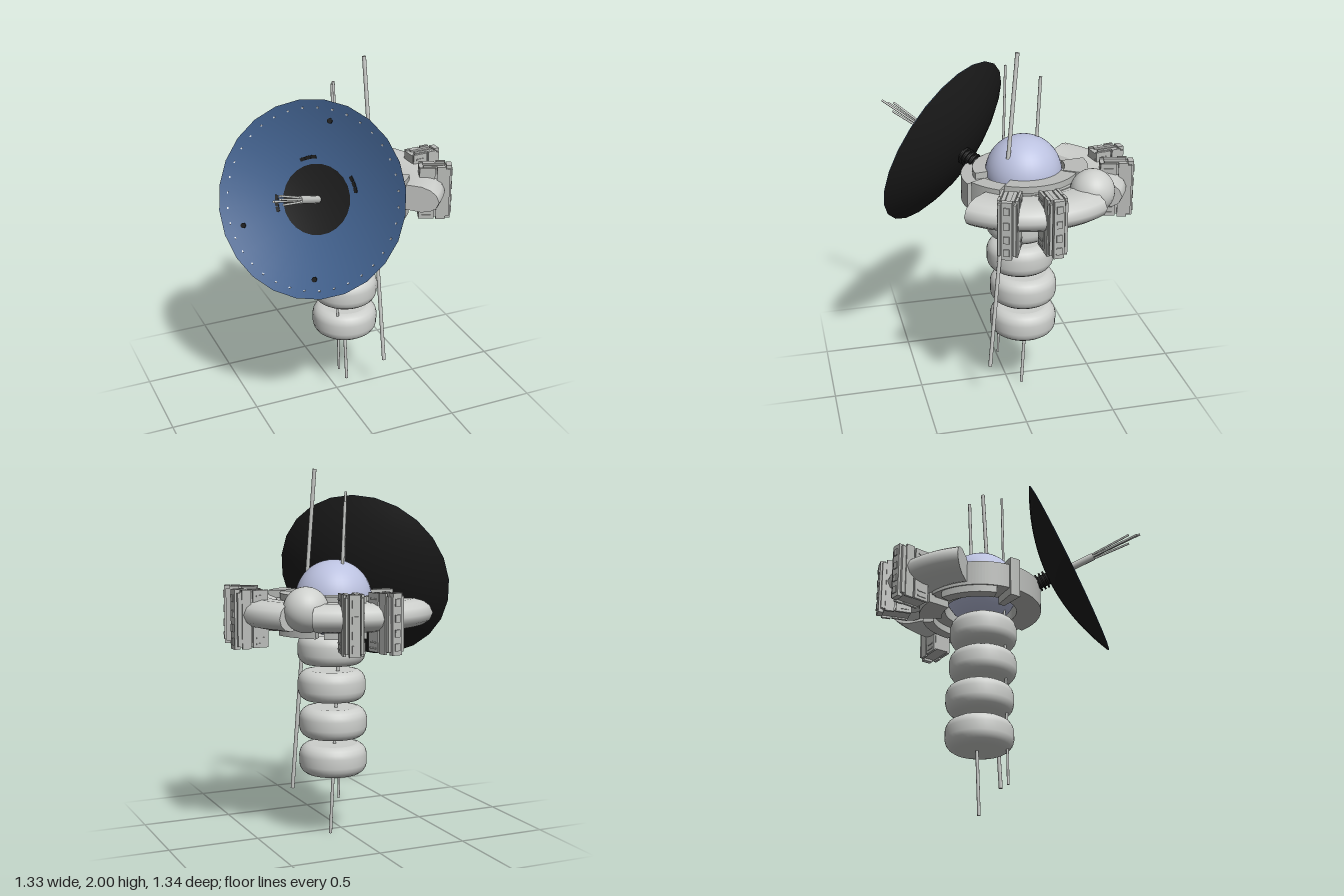
import * as THREE from 'three';

const rad = THREE.MathUtils.degToRad;
const mat = (name, color) => new THREE.MeshStandardMaterial({ name, color, side: THREE.DoubleSide });

export function createModel() {
  const hull = mat('hull grey', 0xcdcfcc);
  const plate = mat('plate grey', 0xbabcb9);
  const lilac = mat('core lilac', 0xbbc1df);
  const blue = mat('dish blue', 0x42628f);
  const black = mat('dish black', 0x1c1c1c);
  const white = mat('lamp white', 0xe4e6e8);

  const model = new THREE.Group();
  const add = (parent, name, geometry, material, x = 0, y = 0, z = 0) => {
    const mesh = new THREE.Mesh(geometry, material);
    mesh.name = name;
    mesh.position.set(x, y, z);
    parent.add(mesh);
    return mesh;
  };
  const group = (parent, name, x = 0, y = 0, z = 0) => {
    const g = new THREE.Group();
    g.name = name;
    g.position.set(x, y, z);
    parent.add(g);
    return g;
  };
  const rod = (parent, name, a, b, r, material) => {
    const from = new THREE.Vector3(...a), to = new THREE.Vector3(...b);
    const dir = to.clone().sub(from);
    const m = add(parent, name, new THREE.CylinderGeometry(r, r, dir.length(), 10), material);
    m.position.copy(from).add(to).multiplyScalar(0.5);
    m.quaternion.setFromUnitVectors(new THREE.Vector3(0, 1, 0), dir.normalize());
    return m;
  };
  const profile = (pts) => pts.map(([x, y]) => new THREE.Vector2(x, y));

  // Core sphere
  const hub = group(model, 'hub', 0.08, 0, -0.08);
  add(hub, 'coreSphere', new THREE.SphereGeometry(0.207, 40, 28), lilac, 0, 1.313, 0);

  // Stack of separate rounded discs
  const discSide = profile([[0.13, -0.083], [0.15, -0.079], [0.168, -0.066], [0.18, -0.048], [0.186, -0.025],
    [0.186, 0.025], [0.18, 0.048], [0.168, 0.066], [0.15, 0.079], [0.13, 0.083]]);
  for (const [y, z] of [[1.035, 0.02], [0.837, 0.018], [0.635, 0], [0.432, 0]]) {
    const disc = group(hub, 'stackDisc', 0.004, y, z);
    add(disc, 'discRim', new THREE.LatheGeometry(discSide, 36), hull);
    add(disc, 'discCore', new THREE.CylinderGeometry(0.131, 0.131, 0.165, 36), hull);
  }

  // Antenna rods
  rod(model, 'mainAntenna', [0.165, 2.0, -0.022], [0.235, 0.22, 0.145], 0.011, hull);
  rod(model, 'leftAntenna', [-0.025, 1.88, -0.005], [-0.005, 0.16, 0.045], 0.007, hull);
  rod(model, 'rearAntenna', [0.055, 1.83, -0.175], [0.096, 0, -0.072], 0.009, hull);

  // Collar: ring sectors of inner radius, outer radius, start, end, bottom, top
  const sector = (r0, r1, a0, a1, y0, y1) => {
    const s = new THREE.Shape();
    s.absarc(0, 0, r1, rad(a0), rad(a1), false);
    s.absarc(0, 0, r0, rad(a1), rad(a0), true);
    const g = new THREE.ExtrudeGeometry(s, { depth: y1 - y0, bevelEnabled: false, curveSegments: 32 });
    return g.rotateX(Math.PI / 2).translate(0, y1, 0);
  };
  for (const [name, ...dims] of [
    ['collarBaseRight', 0.2, 0.31, -98, 75, 1.17, 1.31],
    ['collarBaseLeft', 0.2, 0.337, 75, 262, 1.17, 1.31],
    ['collarTopLeft', 0.205, 0.275, 82, 174, 1.3, 1.345],
    ['collarTopRight', 0.205, 0.29, -62, 34, 1.3, 1.345],
    ['collarTopRear', 0.205, 0.235, 176, 262, 1.3, 1.335],
    ['collarFrontBlock', 0.27, 0.36, 34, 63, 1.125, 1.35],
    ['collarRearBlock', 0.22, 0.345, 264, 302, 1.13, 1.35],
    ['collarLeftBlock', 0.21, 0.35, 173, 183, 1.125, 1.35],
    ['collarLowerFin', 0.27, 0.33, 195, 250, 1.13, 1.18],
    ['collarLowerFin', 0.27, 0.33, 310, 355, 1.13, 1.18],
  ]) add(hub, name, sector(...dims), plate);

  // Two rounded outer arms swept around the hub, with end caps
  const armSide = profile([[0.3, -0.05], [0.36, -0.072], [0.45, -0.074], [0.5, -0.062], [0.535, -0.038], [0.552, 0],
    [0.535, 0.038], [0.5, 0.062], [0.45, 0.074], [0.36, 0.072], [0.3, 0.05]]);
  for (const [a0, a1] of [[223, 305], [323, 407]]) {
    const arm = group(hub, 'outerArm', 0, 1.252, 0);
    add(arm, 'armShell', new THREE.LatheGeometry(armSide, 28, rad(90 - a1), rad(a1 - a0)), hull);
    for (const a of [a0, a1]) {
      add(arm, 'armEnd', new THREE.ShapeGeometry(new THREE.Shape(armSide)), hull).rotation.y = -rad(a);
    }
  }

  // Ball tank between the arms
  add(model, 'ballTank', new THREE.SphereGeometry(0.118, 32, 24), hull, 0.365, 1.29, -0.378);

  // Box pods clamped on the arms
  for (const a of [261, 283.5, 356.5, 22.5]) {
    const pod = group(hub, 'pod', 0, 1.228, 0);
    pod.rotation.y = -rad(a);
    const box = (name, w, h, d, x, y, z) => add(pod, name, new THREE.BoxGeometry(w, h, d), plate, x, y, z);
    box('podBody', 0.155, 0.285, 0.085, 0.485, 0, 0);
    box('podSpine', 0.03, 0.312, 0.055, 0.572, 0, 0);
    for (const s of [-1, 1]) {
      box('podSidePanel', 0.085, 0.3, 0.014, 0.452, 0, s * 0.046);
      box('podSidePanel', 0.05, 0.308, 0.014, 0.53, 0, s * 0.046);
      box('podCorner', 0.022, 0.28, 0.014, 0.566, 0, s * 0.04);
      box('podEndCap', 0.12, 0.012, 0.02, 0.49, 0.146, s * 0.024);
      for (const y of [-0.13, -0.1, 0.12]) box('podSlat', 0.05, 0.008, 0.006, 0.452, y, s * 0.054);
    }
    for (const y of [-0.115, -0.045, 0.03, 0.11]) box('podHatch', 0.008, 0.038, 0.03, 0.589, y, 0);
  }

  // Dish: local +z is the direction it points
  const R = 0.511;
  const dish = group(model, 'dish', -0.272, 1.388, 0.285);
  dish.lookAt(new THREE.Vector3(-0.272 - 0.652, 1.388 + 0.38, 0.285 + 0.657));
  const depth = (r) => -0.115 * (1 - (r / R) ** 2);
  const bowl = (r0, r1, lift, segs) => {
    const pts = [];
    for (let i = 0; i <= 12; i++) {
      const r = r0 + (r1 - r0) * i / 12;
      pts.push(new THREE.Vector2(r, depth(r) + lift * (1 - 0.8 * (r / R) ** 2)));
    }
    return new THREE.LatheGeometry(pts, segs).rotateX(Math.PI / 2);
  };
  add(dish, 'dishFront', bowl(0, R, 0, 24), blue);
  add(dish, 'dishBack', bowl(0, R, -0.015, 24), black);
  add(dish, 'dishCentre', bowl(0, 0.185, 0.006, 24), black);

  // Small marks lying on the bowl
  const mark = (name, r, a, w, h, material) => {
    const t = rad(a);
    const m = add(dish, name, new THREE.BoxGeometry(w, h, 0.006), material,
      r * Math.cos(t), r * Math.sin(t), depth(r) + 0.003);
    m.rotation.order = 'ZYX';
    m.rotation.set(0, -Math.atan(0.23 * r / (R * R)), t);
  };
  for (const a of [85, 208, 280]) {
    const t = rad(a), r = 0.41;
    add(dish, 'dishPort', new THREE.CylinderGeometry(0.014, 0.014, 0.008, 12).rotateX(Math.PI / 2), black,
      r * Math.cos(t), r * Math.sin(t), depth(r) + 0.005);
  }
  for (const a of [29, 110, 194]) {
    for (const k of [-8, 0, 8]) mark('dishClamp', 0.22, a + k, 0.018, 0.028, black);
  }
  for (let i = 0; i < 36; i++) mark('rimLamp', 0.468, i * 10 + 4, 0.007, 0.01, white);

  // Feed mast with splayed thin rods
  rod(dish, 'feedMast', [0, 0, -0.115], [0, 0, 0.15], 0.021, hull);
  [0.44, 0.38, 0.42, 0.36].forEach((len, i) => {
    const c = Math.cos(i * Math.PI / 2 + 0.4), s = Math.sin(i * Math.PI / 2 + 0.4);
    rod(dish, 'feedRod', [c * 0.012, s * 0.012, 0.14], [c * 0.022, s * 0.022, len], 0.006, hull);
  });

  // Ribbed strut joining the dish to the collar
  rod(dish, 'dishStrut', [0, 0, -0.12], [0, 0, -0.26], 0.035, black);
  for (let i = 0; i < 5; i++) {
    rod(dish, 'strutRib', [0, 0, -0.14 - i * 0.022], [0, 0, -0.15 - i * 0.022], 0.05, black);
  }
  return model;
}
